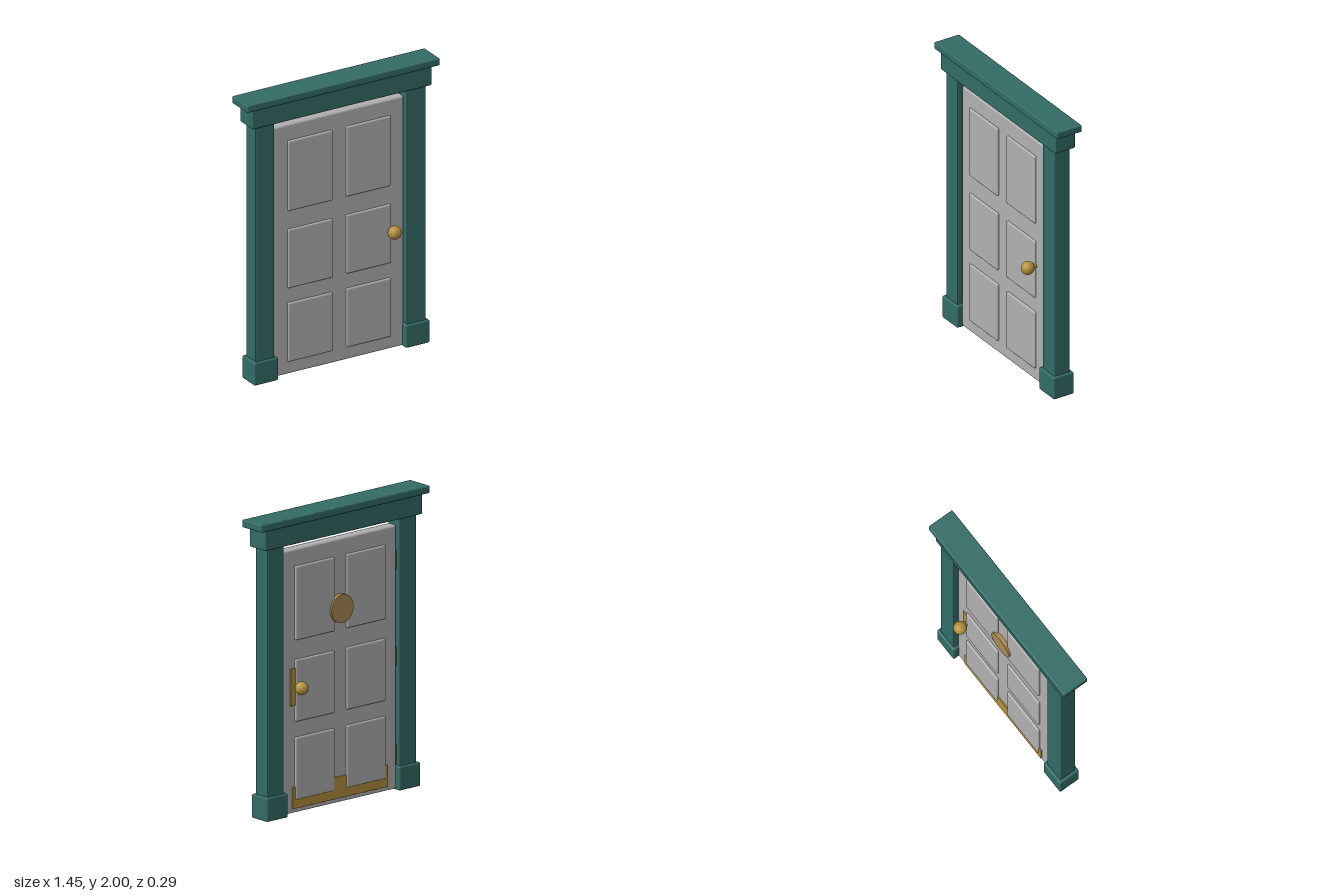
import * as THREE from 'three';
import { RoundedBoxGeometry } from 'three/addons/geometries/RoundedBoxGeometry.js';

function material(name, color) {
  const m = new THREE.MeshStandardMaterial({ color });
  m.name = name;
  return m;
}

export function createModel() {
  const teal = material('teal paint', 0x336b66);
  const grey = material('grey paint', 0xb0b0b0);
  const brass = material('brass', 0xb38f3c);
  const bronze = material('bronze', 0xa98a55);
  const iron = material('dark iron', 0x555555);

  const model = new THREE.Group();
  model.name = 'door';

  function add(name, geometry, mat, x, y, z, parent = model) {
    const mesh = new THREE.Mesh(geometry, mat);
    mesh.name = name;
    mesh.position.set(x, y, z);
    parent.add(mesh);
    return mesh;
  }

  // Softened box given by its extents along each axis
  function block(name, mat, [x0, x1], [y0, y1], [z0, z1], radius, parent) {
    const geometry = new RoundedBoxGeometry(x1 - x0, y1 - y0, z1 - z0, 2, radius);
    return add(name, geometry, mat, (x0 + x1) / 2, (y0 + y1) / 2, (z0 + z1) / 2, parent);
  }

  // Frame: posts on plinths, lintel and cornice
  const frame = new THREE.Group();
  frame.name = 'frame';
  model.add(frame);
  for (const [side, s] of [['left', 1], ['right', -1]]) {
    const post = block(side + 'Post', teal, [-0.07, 0.07], [0.1, 1.85], [-0.06, 0.06], 0.006, frame);
    post.position.x = s * 0.57;
    const plinth = block(side + 'Plinth', teal, [-0.09, 0.09], [0, 0.16], [-0.077, 0.077], 0.01, frame);
    plinth.position.x = s * 0.57;
  }
  block('lintel', teal, [-0.675, 0.675], [1.815, 1.955], [-0.077, 0.077], 0.008, frame);
  block('cornice', teal, [-0.725, 0.725], [1.95, 2], [-0.096, 0.096], 0.008, frame);

  // Door leaf
  block('leaf', grey, [-0.49, 0.49], [0.005, 1.77], [-0.036, 0.036], 0.015);

  // Six raised panels, standing proud on both faces
  const rows = [[0.095, 0.51], [0.615, 1.03], [1.16, 1.655]];
  rows.forEach((row, i) => {
    for (const [side, s] of [['left', 1], ['right', -1]]) {
      const panel = block(side + 'Panel' + (i + 1), grey, [-0.168, 0.168], row, [-0.05, 0.05], 0.01);
      panel.position.x = s * 0.22;
    }
  });

  // Knobs on both faces, each on a short neck
  for (const [side, s] of [['front', 1], ['back', -1]]) {
    add(side + 'Knob', new THREE.SphereGeometry(0.045, 24, 16), brass, 0.382, 0.85, s * 0.098);
    const neck = add(side + 'KnobNeck', new THREE.CylinderGeometry(0.015, 0.015, 0.06, 16), brass, 0.382, 0.85, s * 0.06);
    neck.rotation.x = Math.PI / 2;
  }

  // Brass plates on the back, partly covered by the panels
  block('lockPlate', brass, [0.335, 0.427], [0.725, 0.975], [-0.044, -0.034], 0.002);
  block('kickPlate', brass, [-0.41, 0.41], [0.035, 0.18], [-0.044, -0.034], 0.002);

  // Round disc on the back
  const disc = add('disc', new THREE.CylinderGeometry(0.095, 0.095, 0.03, 40), bronze, 0, 1.305, -0.049);
  disc.rotation.x = Math.PI / 2;

  // Hinges in the gap beside the right post
  for (const y of [0.235, 0.885, 1.535]) {
    add('hinge', new THREE.BoxGeometry(0.02, 0.13, 0.05), iron, -0.493, y, 0);
  }

  return model;
}
